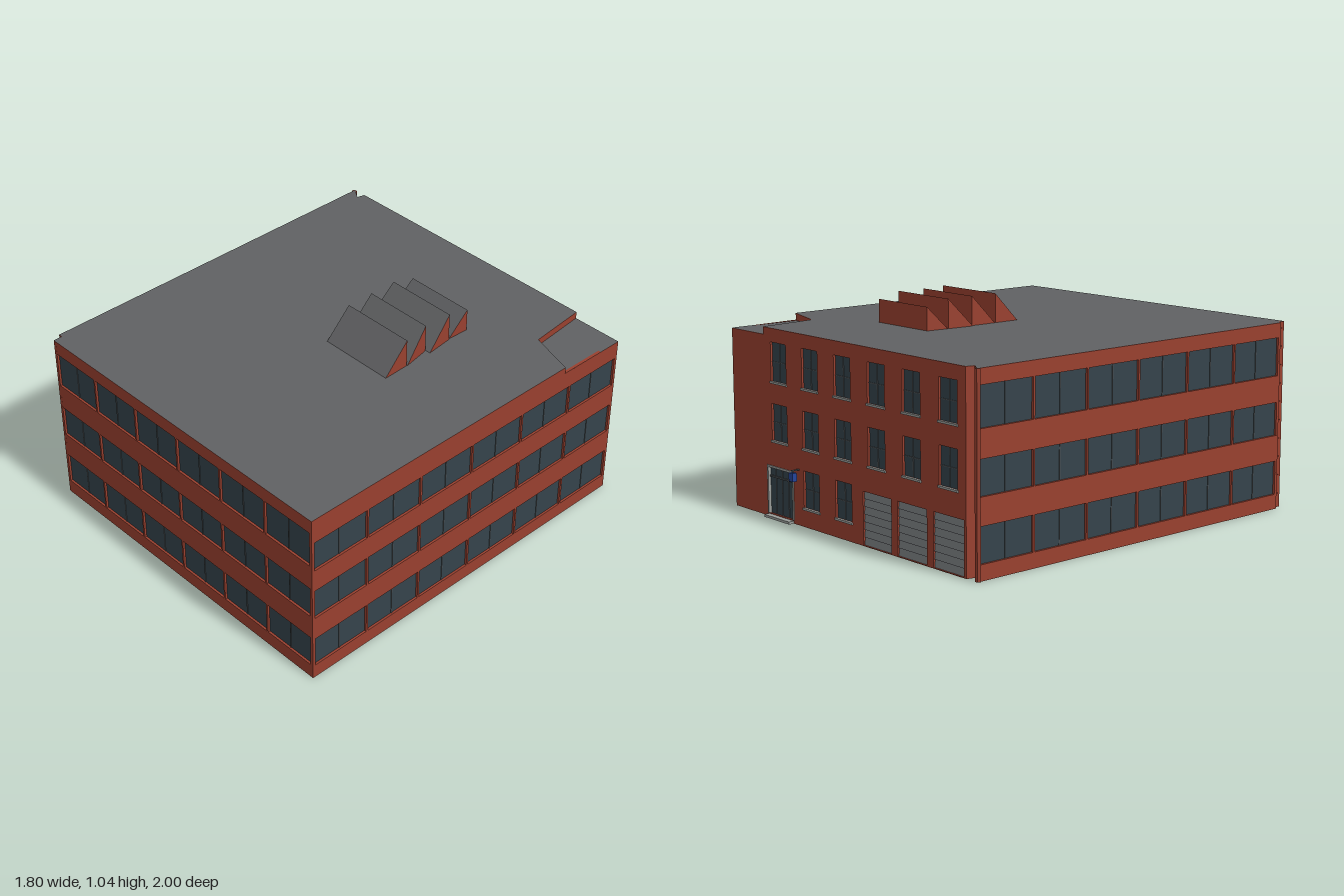
import * as THREE from 'three';

const mat = (color) => new THREE.MeshStandardMaterial({ color, side: THREE.DoubleSide });
const brick = mat(0x99402f), glass = mat(0x35434b), roofGrey = mat(0x606163);
const frame = mat(0x4a4f52), shutter = mat(0x7b7f82), blue = mat(0x24449a);
const stone = mat(0x9a9d9a);
const T = 0.015; // wall thickness

function add(parent, name, geometry, material, x = 0, y = 0, z = 0) {
  const m = new THREE.Mesh(geometry, material);
  m.name = name;
  m.position.set(x, y, z);
  parent.add(m);
  return m;
}
const box = (w, h, d) => new THREE.BoxGeometry(w, h, d);

// Upright wall from plan point a to b (seen from outside, a is at the left).
// outline: [u, y] points; holes: [u0, u1, y0, y1]
function wall(parent, name, a, b, holes = [], outline = null, y0 = 0, y1 = 0.9) {
  const dx = b[0] - a[0], dz = b[1] - a[1], L = Math.hypot(dx, dz);
  const g = new THREE.Group();
  g.name = name;
  g.position.set(a[0], 0, a[1]);
  g.rotation.y = Math.atan2(-dz, dx);
  const pts = outline || [[0, y0], [L, y0], [L, y1], [0, y1]];
  const shape = new THREE.Shape(pts.map((p) => new THREE.Vector2(...p)));
  for (const [u0, u1, v0, v1] of holes) {
    shape.holes.push(new THREE.Path([[u0, v0], [u0, v1], [u1, v1], [u1, v0]].map((p) => new THREE.Vector2(...p))));
  }
  add(g, name + 'Brick', new THREE.ExtrudeGeometry(shape, { depth: T, bevelEnabled: false }), brick, 0, 0, -T);
  parent.add(g);
  return g;
}

// Glass set back in an opening, with upright mullions and crossbars
function glaze(g, name, [u0, u1, v0, v1], cols, rows = 1) {
  const w = u1 - u0, h = v1 - v0, cx = (u0 + u1) / 2, cy = (v0 + v1) / 2;
  add(g, name + 'Glass', new THREE.PlaneGeometry(w, h), glass, cx, cy, -0.011);
  for (let i = 1; i < cols; i++) add(g, name + 'Mullion', box(0.004, h, 0.004), frame, u0 + (w * i) / cols, cy, -0.01);
  for (let j = 1; j < rows; j++) add(g, name + 'Crossbar', box(w, 0.004, 0.004), frame, cx, v0 + (h * j) / rows, -0.01);
}

// Six wide bays on each of three floors
function bandedWall(parent, name, a, b, floors, outline) {
  const L = Math.hypot(b[0] - a[0], b[1] - a[1]), pitch = (L - 0.012) / 6, holes = [];
  for (const [v0, v1] of floors) {
    for (let i = 0; i < 6; i++) holes.push([0.01 + i * pitch, (i + 1) * pitch, v0, v1]);
  }
  const g = wall(parent, name, a, b, holes, outline);
  holes.forEach((h) => glaze(g, 'window', h, 2));
}

function backWall(parent, a, b) {
  const windows = [], doors = [];
  const uOf = (x) => a[0] - x;
  for (let i = 0; i < 6; i++) {
    const u = uOf(-0.715 + 0.244 * i);
    for (const [v0, v1] of [[0.65, 0.835], [0.37, 0.545], [0.09, 0.265]]) {
      if (v0 > 0.1 || i === 3 || i === 4) windows.push([u - 0.06, u + 0.06, v0, v1]);
    }
    if (i < 3) doors.push([u - 0.1, u + 0.1, 0.004, 0.25]);
  }
  const entry = [uOf(0.605), uOf(0.405), 0.015, 0.24];
  const L = Math.hypot(b[0] - a[0], b[1] - a[1]);
  const outline = [[0, 0], [L, 0], [L, 0.9], [0.26, 0.9], [0.26, 0.865], [0, 0.865]];
  const g = wall(parent, 'backWall', a, b, [...windows, ...doors, entry], outline);
  for (const w of windows) {
    glaze(g, 'backWindow', w, 2, 2);
    add(g, 'windowSill', box(0.13, 0.01, 0.012), stone, (w[0] + w[1]) / 2, w[2] - 0.004, 0);
  }
  // Slatted loading doors
  for (const [u0, u1, v0, v1] of doors) {
    const n = 7, h = (v1 - v0) / n;
    for (let j = 0; j < n; j++) {
      const s = add(g, 'loadingDoorSlat', box(u1 - u0, h, 0.004), shutter, (u0 + u1) / 2, v0 + h * (j + 0.5), -0.01);
      s.rotation.x = -0.12;
    }
  }
  // Entrance with doorstep
  glaze(g, 'entranceDoor', entry, 4);
  const cu = (entry[0] + entry[1]) / 2;
  add(g, 'entranceTransom', box(0.2, 0.008, 0.008), frame, cu, 0.195, -0.009);
  for (const u of [entry[0], entry[1]]) add(g, 'entranceJamb', box(0.01, 0.225, 0.016), stone, u, 0.128, -0.004);
  add(g, 'entranceLintel', box(0.21, 0.01, 0.016), stone, cu, 0.243, -0.004);
  add(g, 'doorstep', box(0.2, 0.012, 0.03), stone, cu, 0.006, 0.014);
  // Hanging sign on an arm
  const us = uOf(0.355);
  add(g, 'signArm', box(0.006, 0.006, 0.045), frame, us, 0.266, 0.022);
  add(g, 'signHanger', box(0.004, 0.014, 0.004), frame, us, 0.26, 0.036);
  add(g, 'hangingSign', box(0.03, 0.04, 0.024), blue, us, 0.236, 0.037);
}

// Flat roof surface over plan points [x, z]
function slab(parent, name, pts, y) {
  const geo = new THREE.ShapeGeometry(new THREE.Shape(pts.map(([x, z]) => new THREE.Vector2(x, -z))));
  add(parent, name, geo.rotateX(-Math.PI / 2), roofGrey, 0, y, 0);
}

function faces(...polys) {
  const pos = [];
  for (const p of polys) for (let i = 1; i < p.length - 1; i++) pos.push(...p[0], ...p[i], ...p[i + 1]);
  const geo = new THREE.BufferGeometry();
  geo.setAttribute('position', new THREE.Float32BufferAttribute(pos, 3));
  geo.computeVertexNormals();
  return geo;
}

// Sawtooth rooflight: sloping front, upright back
function sawtooth(parent, z0, z1, top, l0, l1, r0, r1) {
  const y = 0.9;
  const fl = [l0, y, z0], fr = [r0, y, z0], bl = [l1, y, z1], br = [r1, y, z1];
  const tl = [l1, top, z1], tr = [r1, top, z1];
  const g = new THREE.Group();
  g.name = 'sawtoothRooflight';
  add(g, 'rooflightSlope', faces([fl, fr, tr, tl]), roofGrey);
  add(g, 'rooflightWalls', faces([fr, br, tr], [bl, fl, tl], [br, bl, tl, tr]), brick);
  parent.add(g);
}

export function createModel() {
  const model = new THREE.Group();
  model.name = 'brickBuilding';

  // Plan corners
  const fl = [-0.86, 1.0], fr = [0.895, 0.98], br = [0.88, -0.95], bl = [-0.83, -0.94];
  const bi = [-0.84, -0.9], lb = [-0.9, -0.94], lf = [-0.88, 0.955], fi = [-0.86, 0.955];

  // Walls
  const tallFloors = [[0.072, 0.235], [0.36, 0.52], [0.648, 0.83]];
  const sideFloors = [[0.07, 0.227], [0.348, 0.505], [0.62, 0.775]];
  bandedWall(model, 'frontWall', fl, fr, tallFloors);
  bandedWall(model, 'leftWall', fr, br, sideFloors,
    [[0, 0], [1.93, 0], [1.93, 0.865], [1.56, 0.868], [1.56, 0.9], [0, 0.9]]);
  backWall(model, br, bl);
  bandedWall(model, 'rightWall', lb, lf, tallFloors);

  // Corner recesses
  [[bl, bi], [bi, lb], [lf, fi], [fi, fl]].forEach(([a, b]) => wall(model, 'cornerReturn', a, b));

  // Main roof and the lowered corner
  const n0 = [0.62, -0.948], n1 = [0.65, -0.65], n2 = [0.883, -0.58];
  slab(model, 'mainRoof', [fl, fr, n2, n1, n0, bl, bi, lb, lf, fi], 0.901);
  slab(model, 'loweredRoof', [n2, br, n0, n1], 0.866);
  wall(model, 'roofStepSide', n1, n0, [], null, 0.865, 0.9);
  wall(model, 'roofStepEnd', n2, n1, [], null, 0.865, 0.9);

  // Rooflights
  sawtooth(model, 0.077, -0.06, 1.04, 0, 0, 0.39, 0.385);
  sawtooth(model, -0.063, -0.203, 1.04, 0, 0, 0.387, 0.36);
  sawtooth(model, -0.206, -0.346, 1.04, -0.01, 0, 0.387, 0.37);
  sawtooth(model, -0.349, -0.463, 1.012, 0, 0.01, 0.367, 0.37);
  return model;
}
